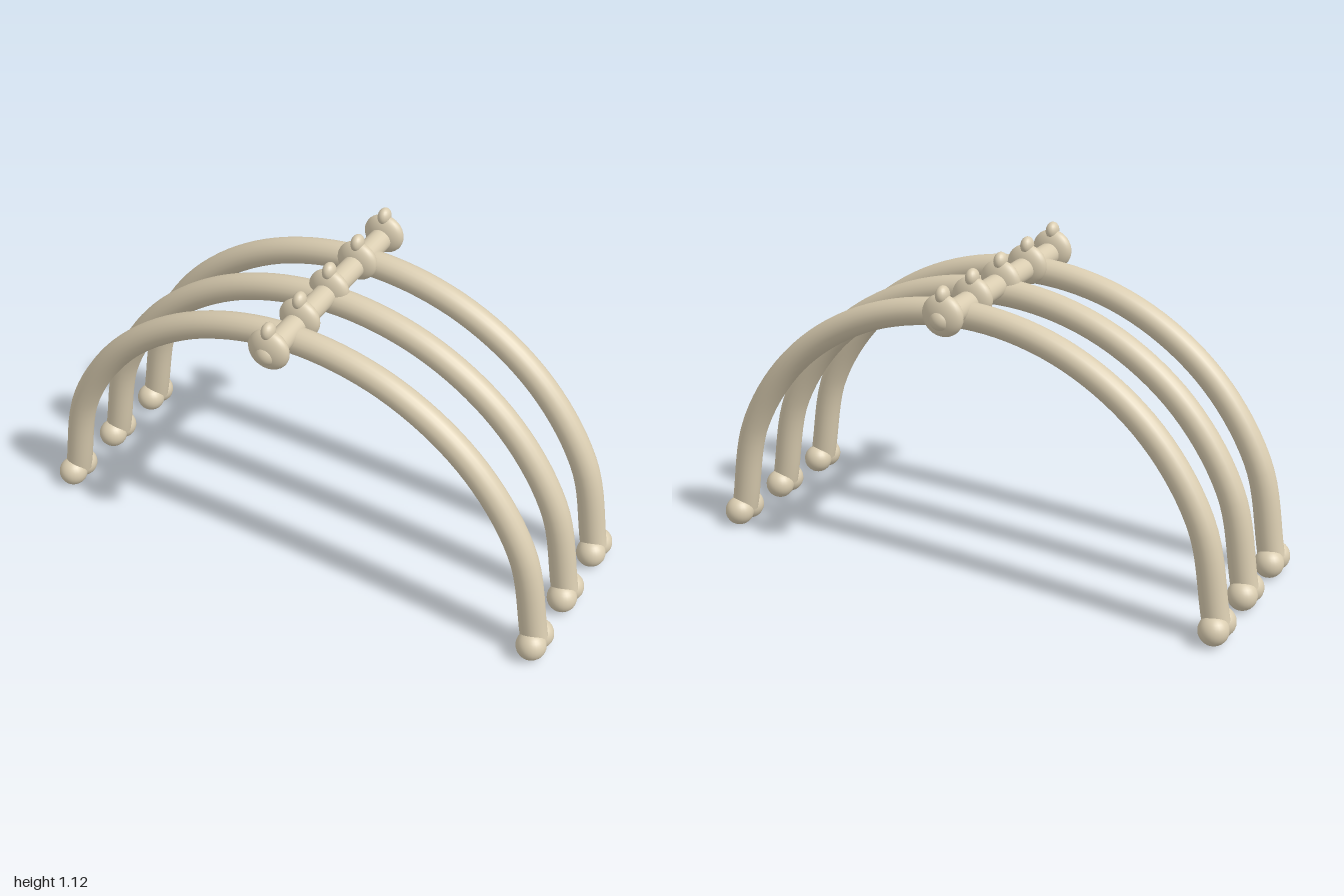
import * as THREE from 'three';

export function createModel() {
  const model = new THREE.Group();
  const bone = new THREE.MeshStandardMaterial({ color: 0xd9ccb0, side: THREE.DoubleSide });
  bone.name = 'bone';

  const add = (name, geometry, x, y, z, parent = model) => {
    const mesh = new THREE.Mesh(geometry, bone);
    mesh.name = name;
    mesh.position.set(x, y, z);
    parent.add(mesh);
    return mesh;
  };

  // Rib arch: half ellipse sampled at a few points and smoothed
  const points = [];
  for (let i = 0; i <= 8; i++) {
    const a = (i / 8) * Math.PI;
    points.push(new THREE.Vector3(0.943 * Math.cos(a), 0.065 + 0.915 * Math.sin(a), 0));
  }
  const ribGeometry = new THREE.TubeGeometry(new THREE.CatmullRomCurve3(points), 64, 0.048, 20);
  const knobGeometry = new THREE.SphereGeometry(0.053, 24, 16);

  // Three ribs, each ending in a pair of knobs
  for (const z of [-0.265, 0, 0.265]) {
    const rib = new THREE.Group();
    rib.name = 'rib';
    rib.position.z = z;
    model.add(rib);
    add('ribArch', ribGeometry, 0, 0, 0, rib);
    for (const sx of [-1, 1]) {
      for (const sz of [-1, 1]) add('ribEndKnob', knobGeometry, sx * 0.947, 0.053, sz * 0.032, rib);
    }
  }

  // Spine rod with rounded ends
  add('spineRod', new THREE.CapsuleGeometry(0.041, 0.816, 10, 24), 0, 1.01, 0).rotation.x = Math.PI / 2;

  // Five flattened vertebrae, each with a small spur on top
  const vertebraGeometry = new THREE.SphereGeometry(1, 28, 18).scale(0.075, 0.073, 0.038);
  const spurGeometry = new THREE.SphereGeometry(1, 20, 14).scale(0.023, 0.032, 0.031);
  for (let i = -2; i <= 2; i++) {
    add('vertebra', vertebraGeometry, 0, 1.02, i * 0.2);
    add('vertebraSpur', spurGeometry, 0, 1.09, i * 0.2);
  }
  return model;
}
